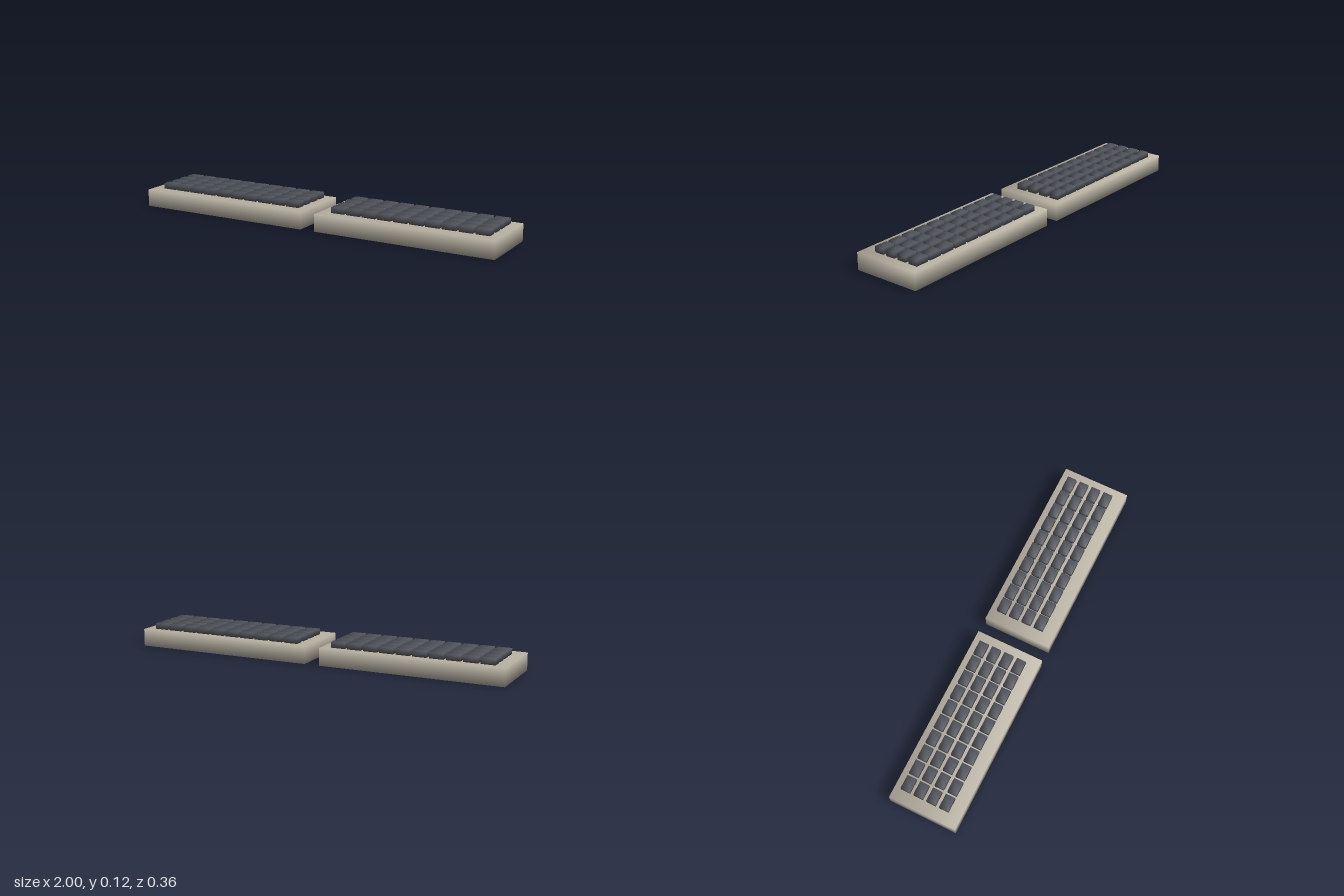
import * as THREE from 'three';
import { mergeVertices } from 'three/addons/utils/BufferGeometryUtils.js';

// Box with shared corners, so its shading runs smoothly around the edges
function smoothBox(w, h, d) {
  const box = new THREE.BoxGeometry(w, h, d);
  box.deleteAttribute('normal');
  box.deleteAttribute('uv');
  const geometry = mergeVertices(box);
  geometry.computeVertexNormals();
  return geometry;
}

export function createModel() {
  const model = new THREE.Group();
  model.name = 'splitKeyboard';

  const caseMaterial = new THREE.MeshStandardMaterial({ color: 0xb8b2a2 });
  const keyMaterial = new THREE.MeshStandardMaterial({ color: 0x50535b });
  const caseGeometry = smoothBox(0.96, 0.09, 0.36);
  const keyGeometry = smoothBox(0.073, 0.03, 0.05);

  const columns = 10, rows = 4;
  const columnPitch = 0.0862, rowPitch = 0.07;

  // Two identical halves, side by side with a gap
  for (const [name, x] of [['rightHalf', -0.52], ['leftHalf', 0.52]]) {
    const half = new THREE.Group();
    half.name = name;
    half.position.x = x;

    const body = new THREE.Mesh(caseGeometry, caseMaterial);
    body.name = 'case';
    body.position.y = 0.045;
    half.add(body);

    // Grid of keys, set slightly off centre
    const keys = new THREE.Group();
    keys.name = 'keys';
    for (let r = 0; r < rows; r++) {
      for (let c = 0; c < columns; c++) {
        const key = new THREE.Mesh(keyGeometry, keyMaterial);
        key.name = `key_${r + 1}_${c + 1}`;
        key.position.set(-0.384 + c * columnPitch, 0.105, -0.12 + r * rowPitch);
        keys.add(key);
      }
    }
    half.add(keys);
    model.add(half);
  }
  return model;
}
